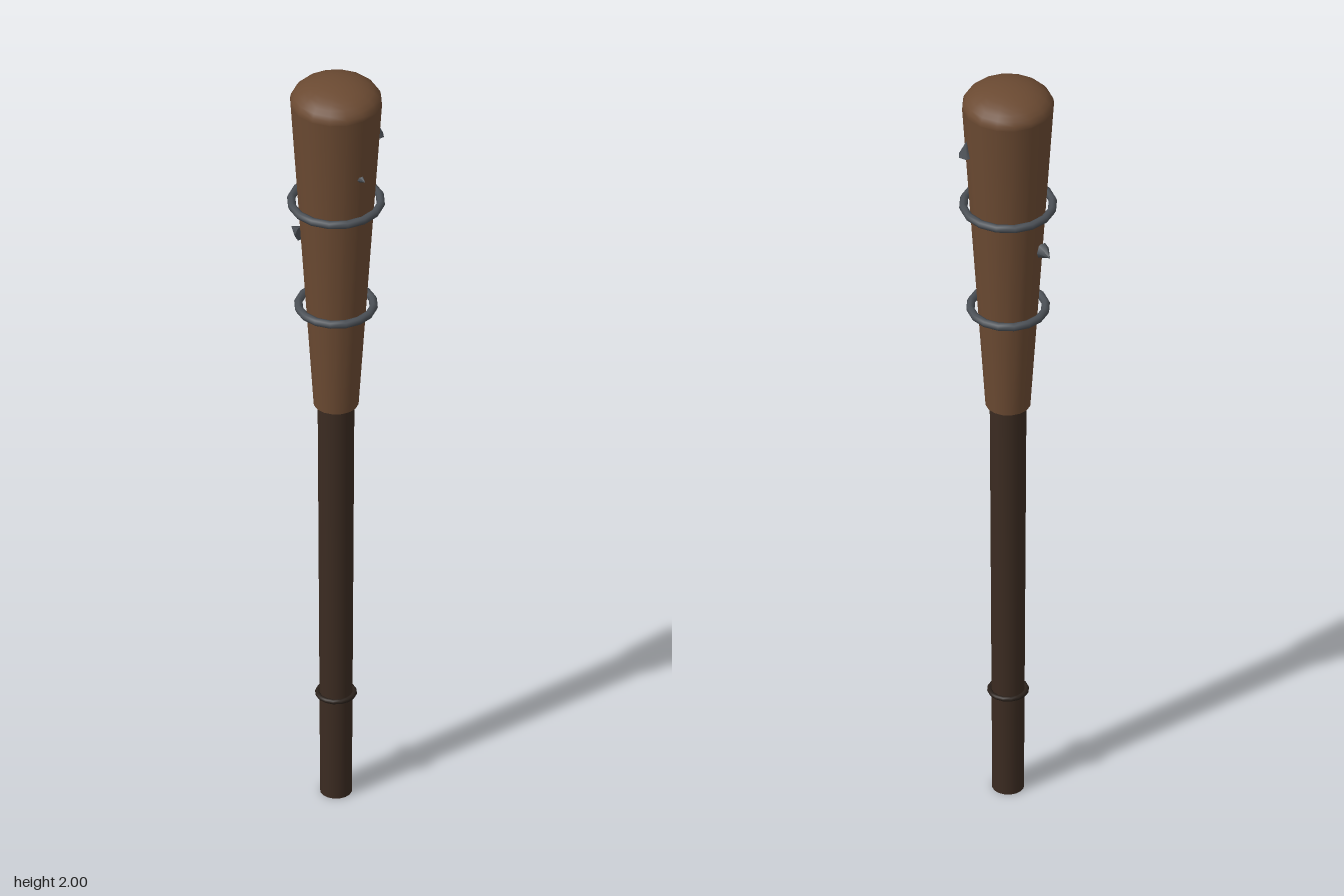
import * as THREE from 'three';

export function createModel() {
  const club = new THREE.Group();
  club.name = 'club';

  const wood = new THREE.MeshStandardMaterial({ color: 0x6b4a32 });
  const grip = new THREE.MeshStandardMaterial({ color: 0x3b2b21 });
  const iron = new THREE.MeshStandardMaterial({ color: 0x4a4f55 });
  const cord = new THREE.MeshStandardMaterial({ color: 0x2a211b });

  const add = (name, geometry, material, x = 0, y = 0, z = 0) => {
    const mesh = new THREE.Mesh(geometry, material);
    mesh.name = name;
    mesh.position.set(x, y, z);
    club.add(mesh);
    return mesh;
  };

  // Tapered handle and the wider striking head
  add('handle', new THREE.CylinderGeometry(0.044, 0.038, 1.1, 16), grip, 0, 0.55, 0);
  add('head', new THREE.CylinderGeometry(0.11, 0.054, 0.85, 16), wood, 0, 1.52, 0);

  // Flattened dome closing the head
  const dome = new THREE.SphereGeometry(0.11, 16, 8, 0, Math.PI * 2, 0, Math.PI / 2);
  dome.scale(1, 0.5, 1);
  add('headCap', dome, wood, 0, 1.945, 0);

  // Iron bands round the head, thin cord round the grip
  const ring = (name, y, radius, tube, material) =>
    add(name, new THREE.TorusGeometry(radius, tube, 8, 16).rotateX(Math.PI / 2), material, 0, y, 0);
  ring('upperBand', 1.664, 0.107, 0.01, iron);
  ring('lowerBand', 1.372, 0.09, 0.01, iron);
  ring('gripRing', 0.277, 0.044, 0.006, cord);

  // Small iron spikes: position and turn about z
  const spikes = [
    ['leftSpike', 0.095, 1.775, 0, -Math.PI / 2],
    ['rightSpike', -0.09, 1.555, 0.05, Math.PI / 2],
    ['backSpike', 0.025, 1.843, -0.1, 0],
  ];
  for (const [name, x, y, z, turn] of spikes) {
    add(name, new THREE.ConeGeometry(0.02, 0.04, 6), iron, x, y, z).rotation.z = turn;
  }

  return club;
}
